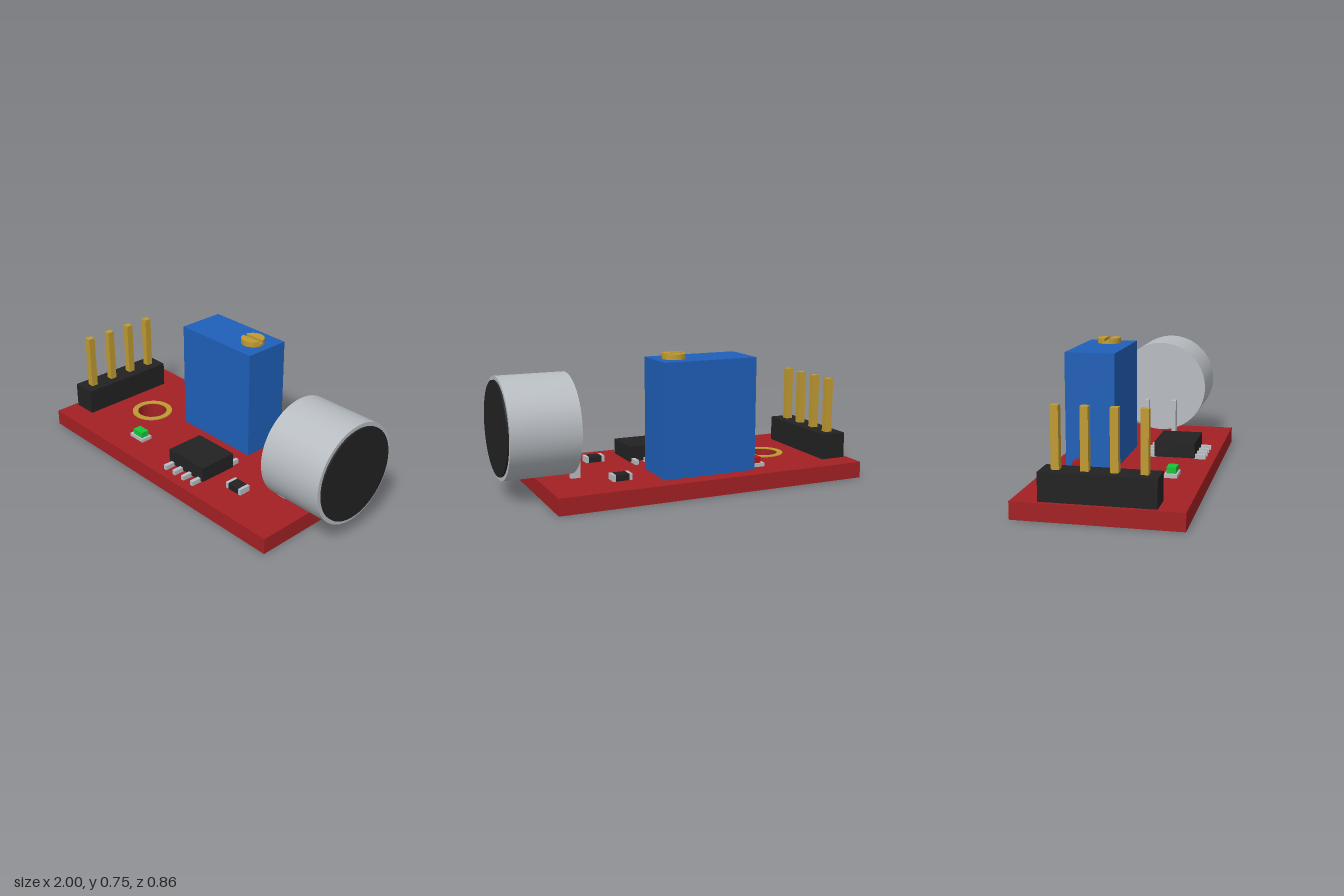
import * as THREE from 'three';

const mat = (name, color) => {
  const m = new THREE.MeshStandardMaterial({ color });
  m.name = name;
  return m;
};

export function createModel() {
  const model = new THREE.Group();
  model.name = 'soundSensorBoard';

  const red = mat('boardRed', 0xa32023);
  const blue = mat('trimmerBlue', 0x1f5fb8);
  const black = mat('black', 0x222222);
  const gold = mat('gold', 0xc09a32);
  const silver = mat('silver', 0xb8bdc2);
  const green = mat('lampGreen', 0x16c43a);
  const lampRed = mat('lampRed', 0xb01a1c);

  const TOP = 0.092; // upper face of the board

  const add = (name, geometry, material, parent = model) => {
    const mesh = new THREE.Mesh(geometry, material);
    mesh.name = name;
    parent.add(mesh);
    return mesh;
  };
  // Box given by its limits on each axis
  const box = (name, material, [x0, x1], [y0, y1], [z0, z1], parent = model) => {
    const g = new THREE.BoxGeometry(x1 - x0, y1 - y0, z1 - z0);
    g.translate((x0 + x1) / 2, (y0 + y1) / 2, (z0 + z1) / 2);
    return add(name, g, material, parent);
  };
  const around = (c, size) => [c - size / 2, c + size / 2];
  const group = (name) => {
    const g = new THREE.Group();
    g.name = name;
    model.add(g);
    return g;
  };
  // Plan shape raised along y
  const raise = (shape, depth, y) => {
    const g = new THREE.ExtrudeGeometry(shape, { depth, bevelEnabled: false, curveSegments: 32 });
    g.rotateX(-Math.PI / 2);
    return g.translate(0, y, 0);
  };
  const circle = (x, y, r) => new THREE.Path().absarc(x, y, r, 0, Math.PI * 2, true);

  // Board with its mounting hole and plated ring
  const outline = new THREE.Shape([
    new THREE.Vector2(-1, -0.428), new THREE.Vector2(0.797, -0.428),
    new THREE.Vector2(0.797, 0.428), new THREE.Vector2(-1, 0.428),
  ]);
  outline.holes.push(circle(-0.6, 0, 0.088));
  add('board', raise(outline, TOP, 0), red);

  const ring = new THREE.Shape().absarc(-0.6, 0, 0.122, 0, Math.PI * 2, false);
  ring.holes.push(circle(-0.6, 0, 0.088));
  add('holeRing', raise(ring, 0.005, TOP), gold);

  // Pin header
  const header = group('pinHeader');
  box('headerBase', black, [-0.979, -0.833], [TOP, 0.238], [-0.291, 0.291], header);
  for (let i = 0; i < 4; i++) {
    box('headerPin', gold, around(-0.906, 0.04), [0.238, 0.552], around((i - 1.5) * 0.145, 0.04), header);
  }

  // Trimmer with a slotted screw
  const trimmer = group('trimmer');
  box('trimmerBody', blue, [-0.36, 0.182], [TOP, 0.72], [-0.335, -0.063], trimmer);
  const screw = new THREE.Group();
  screw.name = 'trimmerScrew';
  screw.position.set(0.069, 0, -0.199);
  trimmer.add(screw);
  const disc = new THREE.CylinderGeometry(0.0655, 0.0655, 0.013, 32);
  add('screwBase', disc.translate(0, 0.7265, 0), gold, screw);
  const slot = Math.asin(0.012 / 0.0655);
  for (const start of [0, Math.PI]) {
    const half = new THREE.Shape().absarc(0, 0, 0.0655, start + slot, start + Math.PI - slot, false);
    add('screwHalf', raise(half, 0.017, 0.733), gold, screw);
  }

  // Chip with four legs on each side
  const chip = group('chip');
  box('chipBody', black, [-0.056, 0.22], [0.1, 0.187], [0.091, 0.318], chip);
  for (let i = 0; i < 4; i++) {
    const x = around(0.082 + (i - 1.5) * 0.073, 0.022);
    box('chipLeg', silver, x, [TOP, 0.118], [0.032, 0.1], chip);
    box('chipLeg', silver, x, [TOP, 0.118], [0.309, 0.377], chip);
  }

  for (const side of [-1, 1]) {
    // Resistor with metal ends
    const resistor = group('resistor');
    const z = side * 0.217;
    box('resistorBody', black, around(0.388, 0.076), [TOP, 0.126], around(z, 0.067), resistor);
    for (const end of [-1, 1]) {
      box('resistorEnd', silver, around(0.388 + end * 0.0465, 0.017), [TOP, 0.127], around(z, 0.068), resistor);
    }

    // Indicator lamp on its base
    const lamp = group('lamp');
    const lz = side * 0.254;
    box('lampBase', silver, around(-0.395, 0.11), [TOP, 0.112], around(lz, 0.07), lamp);
    box('lampLens', side > 0 ? green : lampRed, around(-0.393, 0.076), [0.112, 0.145], around(lz, 0.05), lamp);

    // Microphone lead
    box('microphoneLead', silver, [0.572, 0.625], [TOP, 0.297], around(side * 0.086, 0.027));
  }

  // Microphone can and its dark face
  const drum = (name, r, x0, x1, material) => {
    const g = new THREE.CylinderGeometry(r, r, x1 - x0, 64);
    g.rotateZ(-Math.PI / 2);
    add(name, g.translate((x0 + x1) / 2, 0.379, 0), material);
  };
  drum('microphoneCan', 0.276, 0.613, 0.991, silver);
  drum('microphoneFace', 0.255, 0.985, 1, black);

  return model;
}
